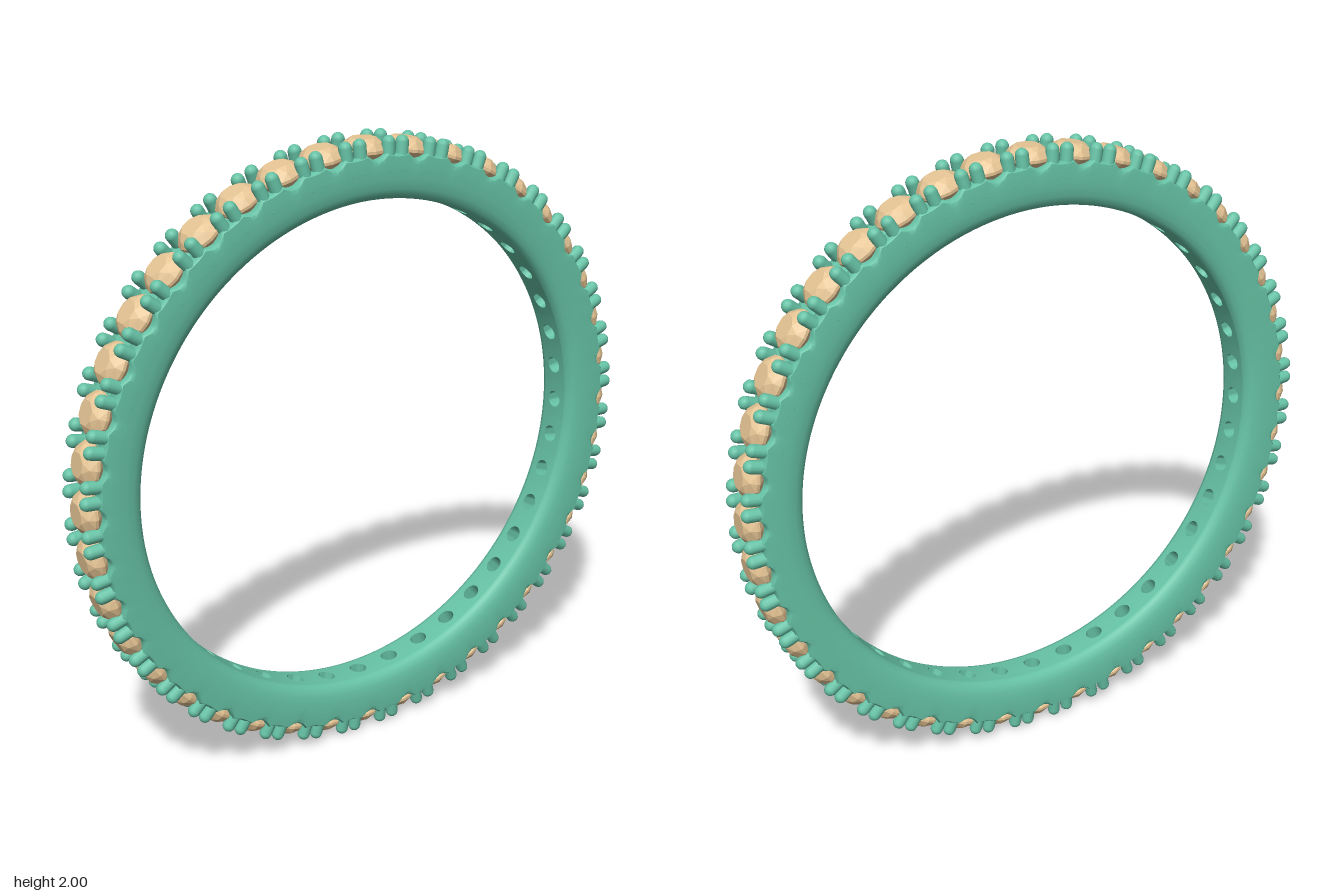
import * as THREE from 'three';
import { toCreasedNormals } from 'three/addons/utils/BufferGeometryUtils.js';
import { ConvexGeometry } from 'three/addons/geometries/ConvexGeometry.js';

const COUNT = 40, STEP = (2 * Math.PI) / COUNT;
const INNER = 0.805, FLAT = 0.05; // bore radius, half width of the drilled inner strip
const metal = new THREE.MeshStandardMaterial({ color: 0x66c2a5 });
const gem = new THREE.MeshStandardMaterial({ color: 0xe5c494, flatShading: true });

// Point on the ring: radius, angle from the top, depth
const polar = (r, a, z) => new THREE.Vector3(r * Math.sin(a), r * Math.cos(a), z);

// Surface from a rule f(u, v) giving a point at each grid corner
function gridSurface(nu, nv, f) {
  const pos = [], idx = [], w = nv + 1;
  for (let u = 0; u <= nu; u++) {
    for (let v = 0; v <= nv; v++) {
      pos.push(...f(u, v).toArray());
      if (u < nu && v < nv) {
        const a = u * w + v, b = a + w;
        idx.push(a, b, b + 1, a, b + 1, a + 1);
      }
    }
  }
  const g = new THREE.BufferGeometry();
  g.setAttribute('position', new THREE.Float32BufferAttribute(pos, 3));
  g.setIndex(idx);
  return toCreasedNormals(g, 0.75);
}

// Band: rounded sides and an outer edge that dips below every stone
function bandShell() {
  const profile = (edge) => {
    const half = [
      [INNER + 0.002, FLAT], [0.811, 0.062], [0.822, 0.072], [0.84, 0.079], [0.87, 0.083],
      [0.915, 0.084], [edge - 0.006, 0.082], [edge, 0.075], [edge, 0.05],
    ];
    const back = half.map(([r, z]) => [r, -z]).reverse();
    return [...half, [0.925, 0], ...back];
  };
  return gridSurface(COUNT * 8, 18, (u, v) => {
    const a = (u / 8 - 0.5) * STEP, c = Math.cos(a * COUNT);
    const edge = 0.95 - 0.02 * Math.max(0, c) - 0.005 * Math.max(0, -c);
    const [r, z] = profile(edge)[v];
    return polar(r, a, z);
  });
}

// One inner panel with a round hole drilled outward toward the stone
function drilledPanel() {
  const holeR = 0.028;
  return gridSurface(3, 32, (u, v) => {
    const k = v % 32, f = ((k % 8) / 8) * 2 - 1;
    const [sx, sz] = [[1, f], [-f, 1], [-1, -f], [f, -1]][Math.floor(k / 8)];
    const border = new THREE.Vector2((sx * STEP) / 2, sz * FLAT);
    const dir = new THREE.Vector2(border.x * INNER, border.y).normalize();
    const rim = new THREE.Vector2((dir.x * holeR) / INNER, dir.y * holeR);
    const p = rim.clone().lerp(border, Math.max(0, u - 1) / 2);
    return polar(u === 0 ? 0.915 : INNER + 0.8 * p.y * p.y, p.x, p.y);
  });
}

// Faceted round stone, its axis along y, placed at its ring radius
function stoneGeometry() {
  const pts = [new THREE.Vector3(0, 0.89, 0)];
  const ring = (n, r, y, turn) => {
    for (let i = 0; i < n; i++) {
      const a = ((i + turn) / n) * Math.PI * 2;
      pts.push(new THREE.Vector3(r * Math.cos(a), y, r * Math.sin(a)));
    }
  };
  ring(8, 0.045, 0.917, 0.5);
  ring(16, 0.07, 0.947, 0);
  ring(16, 0.07, 0.956, 0);
  ring(8, 0.058, 0.975, 0);
  ring(8, 0.039, 0.988, 0.5);
  return new ConvexGeometry(pts);
}

// Rounded claw leaning from the band over the stone
function prongGeometry() {
  const base = new THREE.Vector3(0, 0.9, 0.064), tip = new THREE.Vector3(0, 0.979, 0.057);
  const dir = tip.clone().sub(base), len = dir.length();
  const g = new THREE.CapsuleGeometry(0.0205, len, 5, 12, 1);
  g.applyQuaternion(new THREE.Quaternion().setFromUnitVectors(new THREE.Vector3(0, 1, 0), dir.normalize()));
  const mid = base.add(tip).multiplyScalar(0.5);
  return g.translate(mid.x, mid.y, mid.z);
}

export function createModel() {
  const model = new THREE.Group();
  model.name = 'ring';
  const ring = new THREE.Group();
  ring.name = 'tiltedRing';
  model.add(ring);

  const add = (name, geo, mat, angle = 0) => {
    const m = new THREE.Mesh(geo, mat);
    m.name = name;
    m.rotation.z = -angle;
    ring.add(m);
    return m;
  };

  add('band', bandShell(), metal);
  const panel = drilledPanel(), stone = stoneGeometry(), prong = prongGeometry();

  for (let i = 0; i < COUNT; i++) {
    const a = i * STEP;
    add('drilledInnerPanel', panel, metal, a);
    add('stone', stone, gem, a);
    // Four prongs around each stone
    for (const side of [-1, 1]) {
      for (const turn of [0, Math.PI]) {
        const p = add('prong', prong, metal, a + side * 0.053);
        if (turn) p.rotateY(turn);
      }
    }
  }

  // The ring leans very slightly toward the front
  ring.rotation.x = 0.016;
  ring.position.y = 1;
  return model;
}
